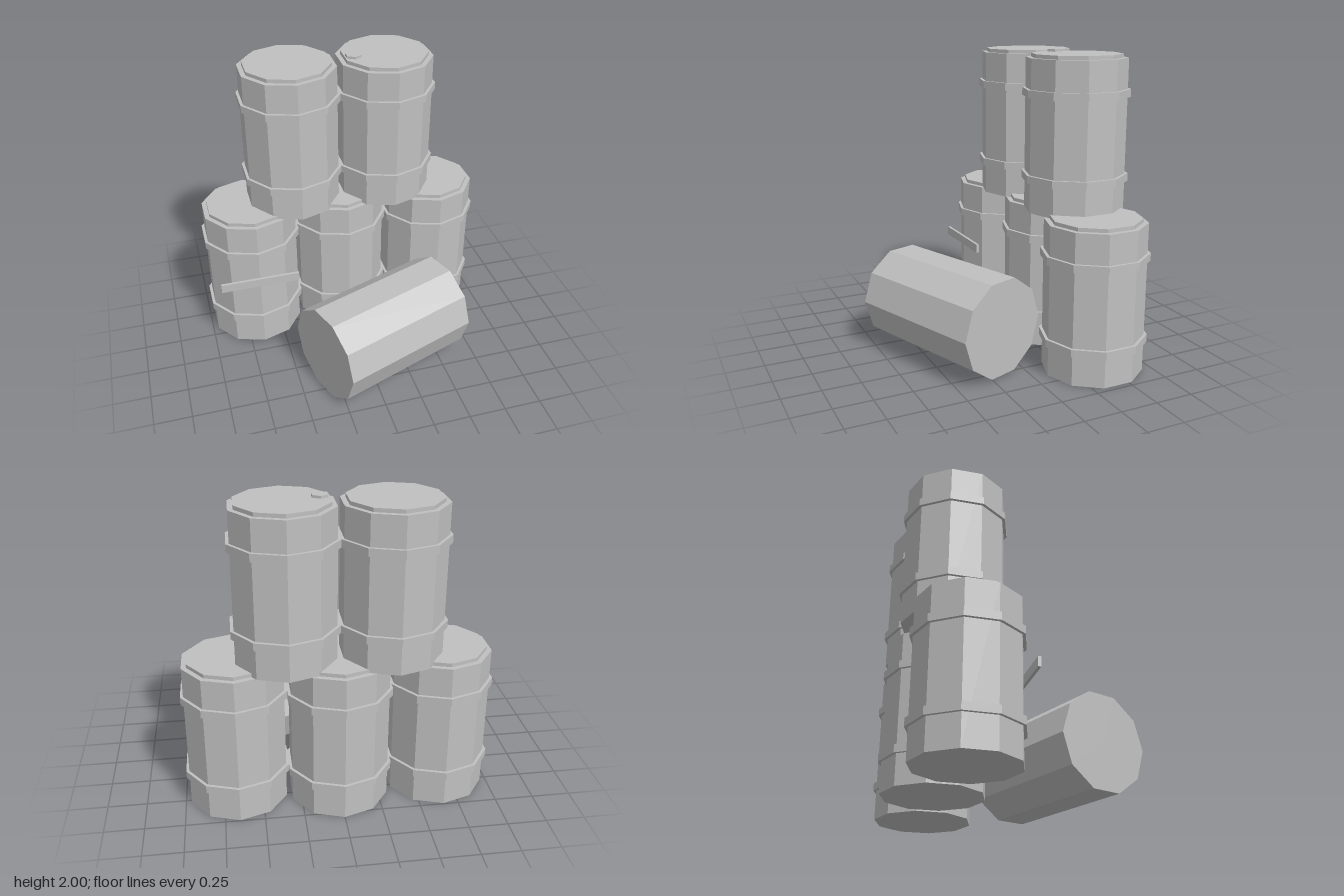
import * as THREE from 'three';

const SIDES = 10;
const BODY_RADIUS = 0.325;
const BODY_HEIGHT = 0.98;

export function createModel() {
  const model = new THREE.Group();
  model.name = 'barrelStack';
  const grey = new THREE.MeshStandardMaterial({ color: 0xc0c0c0 });
  grey.name = 'grey';

  // Faceted prism standing on y, with hard edges
  function prism(name, radius, height, y, parent, sides = SIDES) {
    const geometry = new THREE.CylinderGeometry(radius, radius, height, sides).toNonIndexed();
    geometry.computeVertexNormals();
    const mesh = new THREE.Mesh(geometry, grey);
    mesh.name = name;
    mesh.position.y = y;
    parent.add(mesh);
    return mesh;
  }

  // Upright barrel: body, two hoops and a raised lid
  function barrel(name, x, y, z) {
    const group = new THREE.Group();
    group.name = name;
    group.position.set(x, y, z);
    prism('body', BODY_RADIUS, BODY_HEIGHT, BODY_HEIGHT / 2, group);
    prism('lowerHoop', 0.345, 0.05, 0.221, group);
    prism('upperHoop', 0.345, 0.05, 0.762, group);
    prism('lid', 0.292, 0.03, 0.989, group);
    model.add(group);
  }

  // Bottom row of three, with two on top
  barrel('lowerRightBarrel', -0.655, 0, -0.42);
  barrel('lowerMiddleBarrel', 0, 0, -0.475);
  barrel('lowerLeftBarrel', 0.655, 0, -0.42);
  barrel('upperRightBarrel', -0.328, BODY_HEIGHT, -0.452);
  barrel('upperLeftBarrel', 0.328, BODY_HEIGHT, -0.452);

  // Small hexagonal plug on the upper left lid
  const plug = prism('plug', 0.055, 0.025, 1.9875, model, 6);
  plug.position.set(0.107, 1.9875, -0.42);

  // Plain barrel lying on its side in front
  const fallen = prism('fallenBarrel', 0.326, 0.98, 0, model);
  fallen.position.set(0.106, 0.33, 0.342);
  fallen.rotation.set(0, THREE.MathUtils.degToRad(20), Math.PI / 2);

  // Flat strip across the front of the right barrel
  const strip = new THREE.Mesh(new THREE.BoxGeometry(0.543, 0.061, 0.019), grey);
  strip.name = 'strip';
  strip.position.set(-0.655, 0.545, -0.085);
  model.add(strip);

  return model;
}
